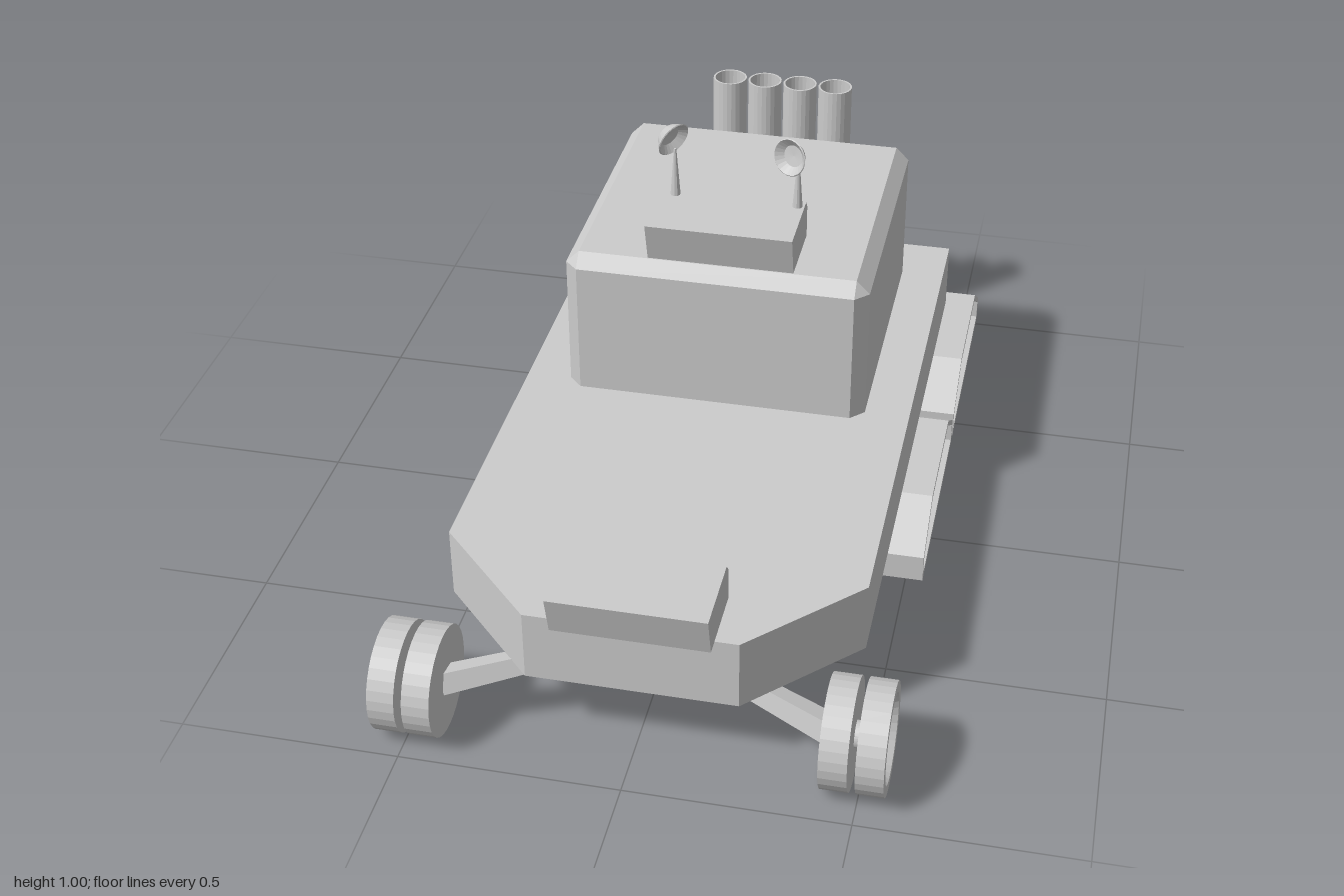
import * as THREE from 'three';

const grey = new THREE.MeshStandardMaterial({ color: 0xcccccc, flatShading: true });
const V = (x, y, z) => new THREE.Vector3(x, y, z);

function add(parent, name, geometry) {
  const mesh = new THREE.Mesh(geometry, grey);
  mesh.name = name;
  parent.add(mesh);
  return mesh;
}

// Skin a stack of equal-length rings and cap both ends.
// Rings run anticlockwise seen from above.
function loft(rings) {
  const pos = [];
  const tri = (...pts) => pts.forEach(p => pos.push(p.x, p.y, p.z));
  const n = rings[0].length;
  for (let i = 0; i < rings.length - 1; i++) {
    for (let j = 0; j < n; j++) {
      const k = (j + 1) % n;
      const [a, b, c, d] = [rings[i][j], rings[i][k], rings[i + 1][k], rings[i + 1][j]];
      tri(a, b, c);
      tri(a, c, d);
    }
  }
  const first = rings[0], last = rings[rings.length - 1];
  for (let j = 1; j < n - 1; j++) {
    tri(first[0], first[j + 1], first[j]);
    tri(last[0], last[j], last[j + 1]);
  }
  const g = new THREE.BufferGeometry();
  g.setAttribute('position', new THREE.Float32BufferAttribute(pos, 3));
  g.computeVertexNormals();
  return g;
}

// Extrude a [z, y] outline across x.
function extrudeX(outline, x0, x1, hole) {
  const shape = new THREE.Shape(outline.map(p => new THREE.Vector2(...p)));
  if (hole) shape.holes.push(new THREE.Path(hole.map(p => new THREE.Vector2(...p))));
  const g = new THREE.ExtrudeGeometry(shape, { depth: x1 - x0, bevelEnabled: false });
  return g.rotateY(-Math.PI / 2).translate(x1, 0, 0);
}

// Tapered square bar between two points.
function bar(from, to, r0, r1, sides = 4) {
  const dir = to.clone().sub(from);
  const g = new THREE.CylinderGeometry(r1, r0, dir.length(), sides);
  if (sides === 4) g.rotateY(Math.PI / 4);
  g.applyQuaternion(new THREE.Quaternion().setFromUnitVectors(V(0, 1, 0), dir.normalize()));
  const mid = from.clone().add(to).multiplyScalar(0.5);
  return g.translate(mid.x, mid.y, mid.z);
}

// Deck with a tapered nose
function hull() {
  const ring = y => [[0.47, 0.65], [0.47, -0.8], [-0.47, -0.8], [-0.47, 0.65], [-0.235, 0.89], [0.235, 0.89]]
    .map(([x, z]) => V(x, y, z));
  return loft([ring(0.19), ring(0.36)]);
}

// Cabin with chamfered corners and roof edge
function cabin() {
  const h = 0.363, c = 0.032, i = h - c, z0 = -0.328;
  const body = [[h, i], [h, -i], [i, -h], [-i, -h], [-h, -i], [-h, i], [-i, h], [i, h]];
  const roof = body.map(([x, z]) => [Math.sign(x) * i, Math.sign(z) * i]);
  const ring = (pts, y) => pts.map(([x, z]) => V(x, y, z + z0));
  return loft([ring(body, 0.36), ring(body, 0.692), ring(roof, 0.724)]);
}

// Wedge-fronted lamp box
const lampBox = (z, y) => extrudeX(
  [[0, 0], [0.178, 0], [0.205, 0.1], [0.018, 0.1], [0, 0.08]].map(([a, b]) => [a + z, b + y]), -0.165, 0.182);

// Upright hollow pipe with an elbow into the deck's rear
function exhaust(cx) {
  const r = 0.044, n = 24, cz = -0.846;
  const ring = f => Array.from({ length: n }, (_, j) => {
    const a = j / n * Math.PI * 2;
    return f(Math.cos(a), Math.sin(a));
  });
  const flat = (rad, y) => ring((c, s) => V(cx + rad * c, y, cz - rad * s));
  return loft([
    ring((c, s) => V(cx + r * c, 0.202 - 0.012 * s, -0.797)),
    ring((c, s) => V(cx + r * c, 0.23 + 0.022 * s, cz - r * s)),
    flat(r, 0.786), flat(r - 0.005, 0.786), flat(r - 0.005, 0.72),
  ]);
}

// Track pod: rim belt with a recessed web between its sides
function trackPod(front, back) {
  const pod = new THREE.Group();
  const outline = (d) => [
    [back + d, 0.024 + d], [front - d, 0.024 + d], [front - d, 0.092 - d * 0.5],
    [front - 0.131 - d * 0.3, 0.18 - d], [back + 0.131 + d * 0.3, 0.18 - d], [back + d, 0.092 - d * 0.5]];
  add(pod, 'trackRim', extrudeX(outline(0), 0.308, 0.543, outline(0.013)));
  add(pod, 'trackWeb', extrudeX(outline(0.012), 0.335, 0.516));
  return pod;
}

// Twin wheel along +x: two discs on an axle, the outer one dished
function wheel() {
  const g = new THREE.Group();
  const disc = (pts, name) => add(g, name,
    new THREE.LatheGeometry(pts.map(p => new THREE.Vector2(...p)), 32).rotateZ(-Math.PI / 2));
  disc([[0, 0.42], [0.125, 0.42], [0.125, 0.482], [0, 0.482]], 'innerTyre');
  disc([[0, 0.499], [0.125, 0.499], [0.125, 0.56], [0.1, 0.56], [0.09, 0.54], [0, 0.54]], 'outerTyre');
  disc([[0.03, 0.47], [0.03, 0.51]], 'axle');
  return g;
}

// Tapered mast with an aimed shallow dish
function antenna(mastX, centre, aim) {
  const g = new THREE.Group();
  add(g, 'mast', bar(V(mastX, 0.824, -0.138), V(mastX, 0.945, -0.138), 0.012, 0.003, 10));
  const profile = [[0, -0.02], [0.028, -0.017], [0.045, 0.006], [0.043, 0.008], [0.026, -0.008], [0, -0.01]];
  const dish = add(g, 'dish', new THREE.LatheGeometry(profile.map(p => new THREE.Vector2(...p)), 24));
  dish.position.copy(centre);
  dish.quaternion.setFromUnitVectors(V(0, 1, 0), aim.normalize());
  return g;
}

export function createModel() {
  const model = new THREE.Group();
  model.name = 'vehicle';
  add(model, 'hull', hull());
  add(model, 'cabin', cabin());
  add(model, 'noseLampBox', lampBox(0.747, 0.36));
  add(model, 'roofLampBox', lampBox(-0.178, 0.724));
  for (let i = 0; i < 4; i++) add(model, 'exhaustPipe', exhaust(-0.14 + i * 0.0935));

  for (const side of [1, -1]) {
    for (const [front, back] of [[0.192, -0.39], [-0.415, -1]]) {
      const pod = trackPod(front, back);
      pod.name = 'trackPod';
      if (side < 0) pod.position.x = -0.851;
      model.add(pod);
    }
    // Steering wheels sit slightly staggered
    const z = side > 0 ? 0.857 : 0.875;
    const w = wheel();
    w.name = 'frontWheel';
    w.position.set(0, 0.129, z);
    if (side < 0) w.rotation.y = Math.PI;
    model.add(w);
    add(model, 'wheelArm', bar(V(side * 0.43, 0.129, z), V(side * 0.14, 0.202, z - 0.08), 0.036, 0.026));
  }

  const left = antenna(0.165, V(0.15, 0.96, -0.125), V(-0.45, 0.15, 0.86));
  left.name = 'leftAntenna';
  const right = antenna(-0.128, V(-0.138, 0.965, -0.15), V(0.78, -0.3, 0.55));
  right.name = 'rightAntenna';
  model.add(left, right);
  return model;
}
